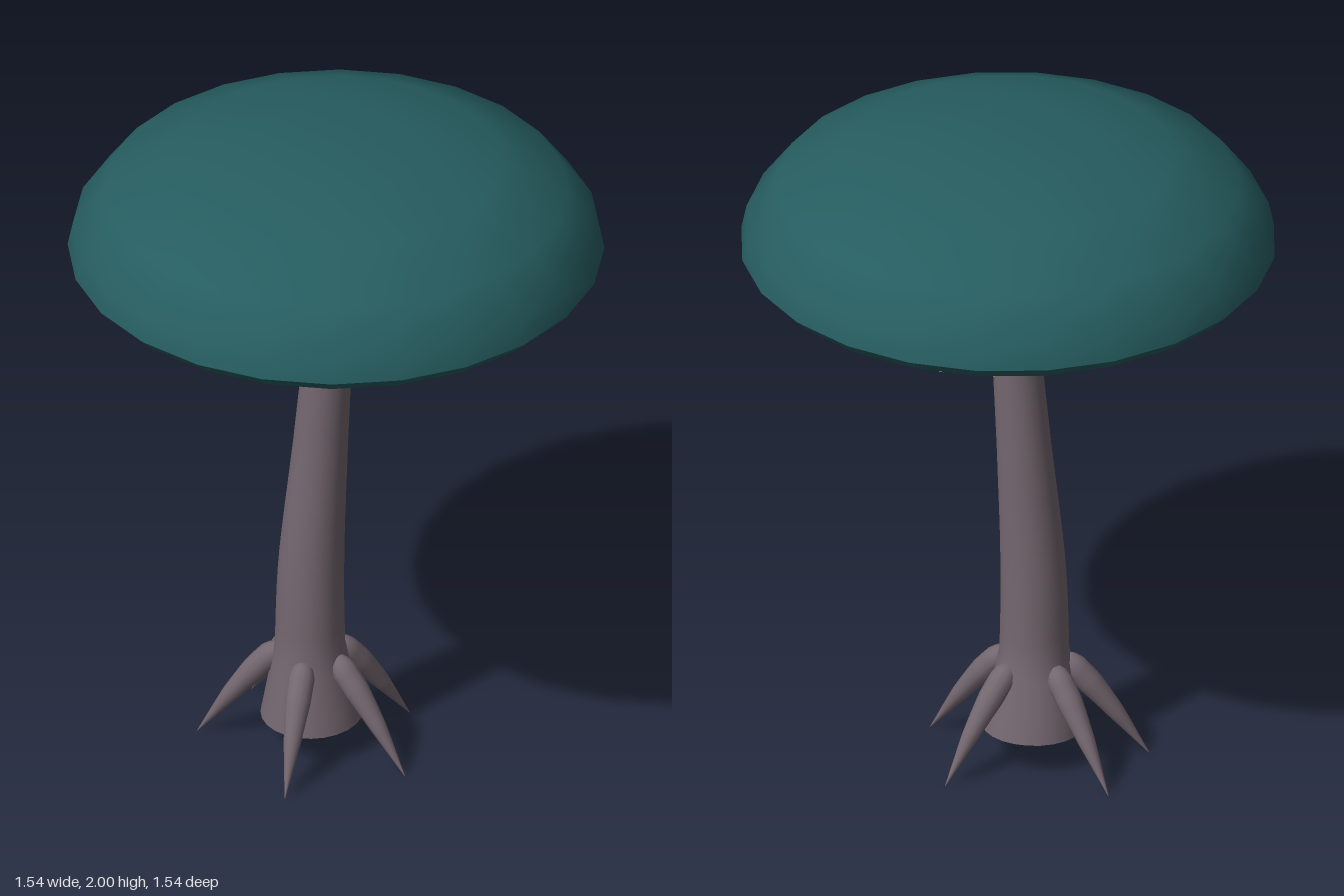
import * as THREE from 'three';
import { mergeVertices, toCreasedNormals } from 'three/addons/utils/BufferGeometryUtils.js';

const V = (x, y, z) => new THREE.Vector3(x, y, z);

// Piecewise-linear lookup in a list of [u, radius] pairs
function radiusAt(table, u) {
  for (let i = 1; i < table.length; i++) {
    const [u0, r0] = table[i - 1], [u1, r1] = table[i];
    if (u <= u1) return r0 + (r1 - r0) * (u - u0) / (u1 - u0);
  }
  return table[table.length - 1][1];
}

// Smooth tube along points whose radius follows the table
function taperedTube(points, table, steps, sides) {
  const curve = new THREE.CatmullRomCurve3(points);
  const tube = new THREE.TubeGeometry(curve, steps, 1, sides);
  const pos = tube.attributes.position, p = V(0, 0, 0);
  for (let i = 0; i <= steps; i++) {
    const centre = curve.getPointAt(i / steps), r = radiusAt(table, i / steps);
    for (let j = 0; j <= sides; j++) {
      const k = i * (sides + 1) + j;
      p.fromBufferAttribute(pos, k).sub(centre).multiplyScalar(r).add(centre);
      pos.setXYZ(k, p.x, p.y, p.z);
    }
  }
  tube.deleteAttribute('normal');
  tube.deleteAttribute('uv');
  const geo = mergeVertices(tube, 1e-5);
  geo.computeVertexNormals();
  return geo;
}

export function createModel() {
  const model = new THREE.Group();
  model.name = 'mushroom';
  const capColour = new THREE.MeshStandardMaterial({ name: 'deepTeal', color: 0x265d60 });
  const gillColour = new THREE.MeshStandardMaterial({ name: 'paleMint', color: 0x8ad8c8 });
  const stemColour = new THREE.MeshStandardMaterial({ name: 'mauveGrey', color: 0x74676f });
  const add = (name, geo, mat, parent = model) => {
    const mesh = new THREE.Mesh(geo, mat);
    mesh.name = name;
    parent.add(mesh);
    return mesh;
  };

  // Domed cap with a chamfered rim and shallow underside
  const profile = [[0, 1.655], [0.735, 1.634], [0.77, 1.67], [0.755, 1.74],
    [0.665, 1.86], [0.48, 1.95], [0.24, 1.99], [0, 2]].map(([x, y]) => new THREE.Vector2(x, y));
  add('cap', toCreasedNormals(new THREE.LatheGeometry(profile, 24), 0.7), capColour);

  // Thin radial gills, deepest beside the stem
  const gills = new THREE.Group();
  gills.name = 'gills';
  model.add(gills);
  const thick = 0.014;
  const blade = new THREE.Shape([[0.09, 1.585], [0.71, 1.622], [0.71, 1.64], [0.09, 1.665]]
    .map(([x, y]) => new THREE.Vector2(x, y)));
  const gillGeo = new THREE.ExtrudeGeometry(blade, { depth: thick, bevelEnabled: false });
  gillGeo.translate(0, 0, -thick / 2);
  for (let i = 0; i < 30; i++) {
    add('gill', gillGeo, gillColour, gills).rotation.y = i * Math.PI / 15;
  }

  // Leaning stem with a flared foot
  const stemPath = [V(-0.072, 0.1, 0.014), V(-0.071, 0.34, 0.026), V(-0.068, 0.6, 0.025),
    V(-0.045, 1, 0.012), V(-0.018, 1.4, 0.005), V(-0.005, 1.66, 0.002)];
  const stemRadii = [[0, 0.148], [0.15, 0.101], [0.32, 0.095], [0.58, 0.079],
    [0.83, 0.068], [0.92, 0.07], [1, 0.077]];
  add('stem', taperedTube(stemPath, stemRadii, 26, 24), stemColour);
  const base = add('stemBase', new THREE.CircleGeometry(0.148, 24), stemColour);
  base.rotation.x = Math.PI / 2;
  base.position.copy(stemPath[0]);

  // Five curved roots, blunt at the stem and pointed at the ground
  const centre = V(-0.07, 0, 0.025);
  const rootRadii = [[0, 0.001], [0.03, 0.022], [0.07, 0.032], [0.13, 0.038],
    [0.3, 0.037], [0.6, 0.025], [1, 0.001]];
  const tips = [[0.26, 0.05], [0.03, 0.335], [-0.38, 0.14], [-0.365, -0.14], [0.09, -0.26]];
  for (const [x, z] of tips) {
    const tip = V(x, 0, z);
    const path = [[0.24, 0.32], [0.44, 0.25], [0.67, 0.155], [1, 0.002]].map(([t, y]) =>
      centre.clone().lerp(tip, t).setY(y));
    add('root', taperedTube(path, rootRadii, 30, 12), stemColour);
  }
  return model;
}
